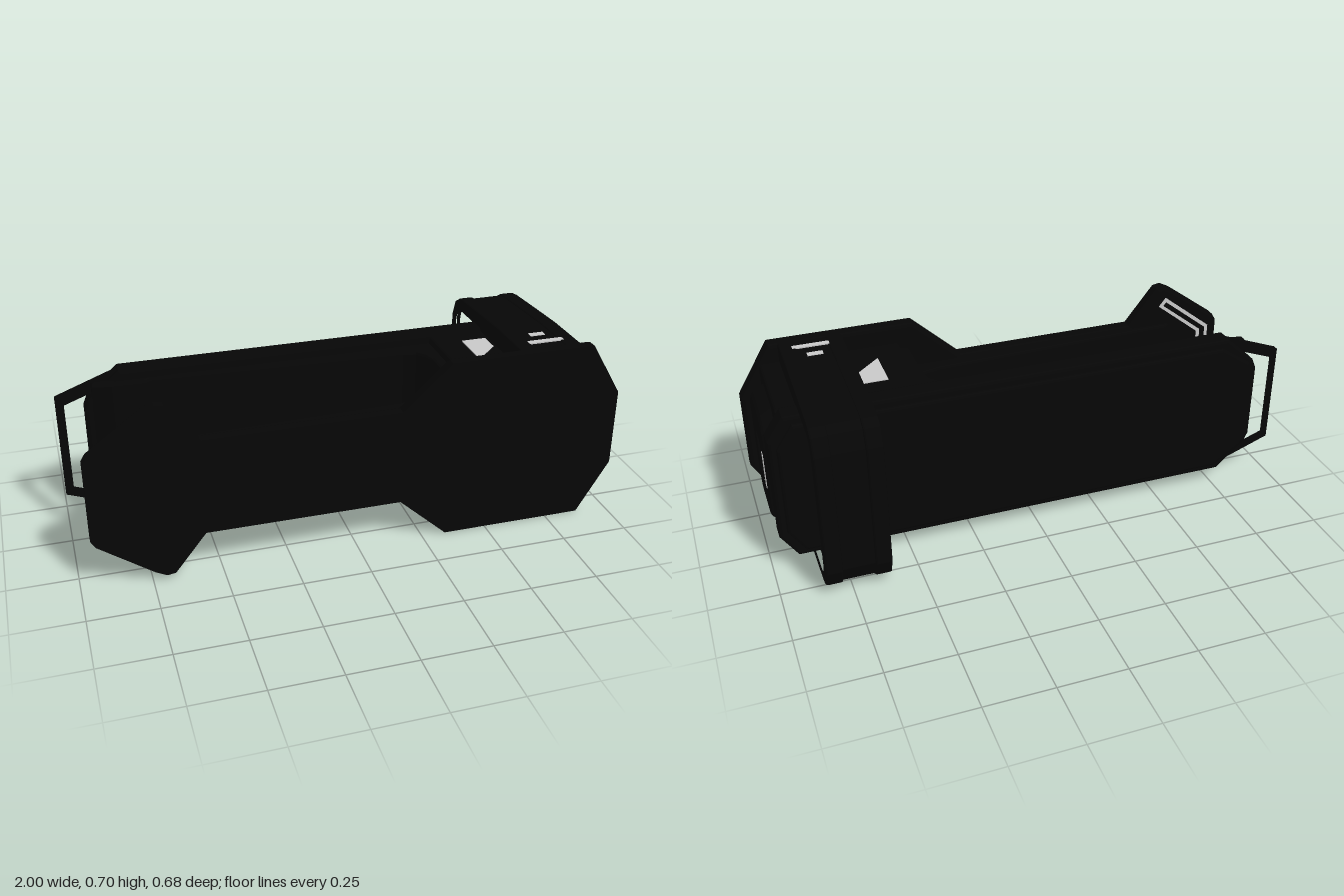
import * as THREE from 'three';

const black = new THREE.MeshStandardMaterial({ color: 0x060606 });
black.name = 'black';
const lightGrey = new THREE.MeshStandardMaterial({ color: 0xc8c8c8 });
lightGrey.name = 'lightGrey';

const MID = 0.3525; // height of the mirror plane between top and bottom

const toShape = (pts) => new THREE.Shape(pts.map(([x, y]) => new THREE.Vector2(x, y)));

// Half outline (upper side) completed by mirroring about the middle height
const mirrorY = (pts) => [...pts, ...pts.map(([x, y]) => [x, 2 * MID - y]).reverse()];

// Rectangle with cut corners
const cutRect = (x0, x1, y0, y1, c) => [
  [x0 + c, y0], [x1 - c, y0], [x1, y0 + c], [x1, y1 - c],
  [x1 - c, y1], [x0 + c, y1], [x0, y1 - c], [x0, y0 + c],
];

// Extrude an outline from a to b; bevel stays inside the given size
function extrude(pts, a, b, bevel = 0, holes = []) {
  const shape = toShape(pts);
  holes.forEach((h) => shape.holes.push(toShape(h)));
  const geo = new THREE.ExtrudeGeometry(shape, {
    depth: b - a - 2 * bevel, bevelEnabled: bevel > 0, bevelThickness: bevel,
    bevelSize: bevel, bevelOffset: -bevel, bevelSegments: 2, steps: 1,
  });
  return geo.translate(0, 0, a + bevel);
}
const flip = (pts) => pts.map(([z, y]) => [-z, y]);
const alongX = (pts, a, b, bevel = 0, holes = []) => // points are (z, y)
  extrude(flip(pts), a, b, bevel, holes.map(flip)).rotateY(Math.PI / 2);
const alongY = (pts, a, b, bevel = 0) => // points are (x, z)
  extrude(pts.map(([x, z]) => [x, -z]), a, b, bevel).rotateX(-Math.PI / 2);

export function createModel() {
  const model = new THREE.Group();
  model.name = 'forkedDevice';
  const add = (name, geo, mat = black) => {
    const mesh = new THREE.Mesh(geo, mat);
    mesh.name = name;
    model.add(mesh);
  };

  // Front plate: narrow middle, flared ends, sharp front and chamfered back
  const plate = mirrorY([
    [-0.95, 0.5], [-0.935, 0.525], [-0.74, 0.665], [-0.7, 0.685], [-0.67, 0.68],
    [-0.65, 0.655], [-0.555, 0.535], [0.16, 0.535], [0.34, 0.7], [0.88, 0.7], [1, 0.5],
  ]);
  add('frontPlate', extrude(plate, 0.315, 0.339));
  add('frontPlateBack', extrude(plate, 0.288, 0.33, 0.014));

  // Narrow front arm of the fork
  add('frontArm', alongY([
    [-0.74, 0.3], [-0.71, 0.27], [0.26, 0.235], [0.32, 0.22], [0.35, 0.19],
    [0.36, 0.15], [0.45, 0.15], [0.45, 0.3],
  ], 0.18, 0.525, 0.01));

  // Taller back arm with the rounded throat, running into the head block
  add('backArm', alongY([
    [0.36, 0.16], [0.36, 0.08], [0.35, 0.04], [0.325, 0.01], [0.28, 0], [-0.66, -0.045],
    [-0.68, -0.03], [-0.8, -0.035], [-0.87, -0.05], [-0.87, -0.08], [0.9, -0.08], [0.9, 0.3],
    [0.36, 0.3],
  ], 0.1, 0.605, 0.012));
  add('headBlock', alongX(cutRect(-0.06, 0.3, 0.075, 0.63, 0.012), 0.4, 0.92, 0.01));

  // Back plate in two steps
  const backOutline = (i) => mirrorY([
    [-0.9 + i, 0.5], [-0.885 + i, 0.535], [-0.77 + i, 0.64 - i],
    [0.905 - i, 0.64 - i], [0.965 - i, 0.55 - i],
  ]);
  add('backPlate', extrude(backOutline(0), -0.133, -0.052, 0.012));
  add('backPanel', extrude(backOutline(0.028), -0.15, -0.12, 0.01));

  // Thin wire guard at the tip
  add('tipGuard', extrude(
    mirrorY([[-1, 0.55], [-0.76, 0.64], [-0.7, 0.64]]), -0.105, -0.083, 0,
    [mirrorY([[-0.97, 0.52], [-0.76, 0.597], [-0.72, 0.597]])],
  ));

  // Wide handle strap wrapping around the back, with raised rims
  const outer = mirrorY([
    [0.32, 0.7], [0.1, 0.7], [-0.06, 0.692], [-0.24, 0.682],
    [-0.28, 0.675], [-0.315, 0.653], [-0.34, 0.59],
  ]);
  const inner = mirrorY([
    [0.29, 0.623], [-0.05, 0.623], [-0.065, 0.643], [-0.24, 0.64],
    [-0.267, 0.633], [-0.293, 0.608], [-0.3, 0.58],
  ]);
  const slim = outer.map(([z, y]) => [z * 0.975, MID + (y - MID) * 0.99]);
  add('handleStrap', alongX(slim, 0.63, 0.82, 0, [inner]));
  for (const [a, b] of [[0.61, 0.67], [0.785, 0.845]]) {
    add('handleRim', alongX(outer, a, b, 0.006, [inner]));
  }

  // End cap with a recess, its height tapering towards the outer face
  const recess = cutRect(0.06, 0.18, 0.235, 0.48, 0.02);
  const cap = alongX(cutRect(-0.018, 0.26, 0.1, 0.605, 0.05), 0.89, 0.972, 0.012, [recess]);
  const pos = cap.attributes.position;
  for (let i = 0; i < pos.count; i++) {
    const t = THREE.MathUtils.clamp((pos.getX(i) - 0.93) / 0.042, 0, 1);
    pos.setY(i, MID + (pos.getY(i) - MID) * (1 - 0.2 * t));
  }
  cap.computeVertexNormals();
  add('endCap', cap);

  // Light slots on the end cap
  add('outerSlot', alongX(cutRect(0.005, 0.036, 0.28, 0.425, 0.004), 0.968, 0.974), lightGrey);
  add('innerSlot', alongX(cutRect(0.072, 0.1, 0.295, 0.41, 0.002), 0.918, 0.926), lightGrey);

  // Light marks mirrored on the upper and lower faces
  const bar = (x0, x1, z0, z1) => [[x0, z0], [x1, z0], [x1, z1], [x0, z1]];
  const marks = [
    ['sideWindow', [[0.503, 0.022], [0.597, 0.022], [0.597, 0.1], [0.503, 0.19]], 0.633],
    ['shortMark', bar(0.7, 0.757, 0.167, 0.192), 0.699],
    ['longMark', bar(0.665, 0.8, 0.235, 0.257), 0.701],
  ];
  for (const [name, pts, y] of marks) {
    add(name, alongY(pts, y - 0.008, y), lightGrey);
    add(name, alongY(pts, 2 * MID - y, 2 * MID - y + 0.008), lightGrey);
  }

  // Outlined light band on the inner face of the front plate tip
  add('tipLightBand', extrude(
    mirrorY([[-0.908, 0.487], [-0.708, 0.64], [-0.68, 0.605], [-0.858, 0.467]]), 0.284, 0.291, 0,
    [mirrorY([[-0.894, 0.48], [-0.71, 0.621], [-0.698, 0.607], [-0.872, 0.474]])],
  ), lightGrey);

  return model;
}
